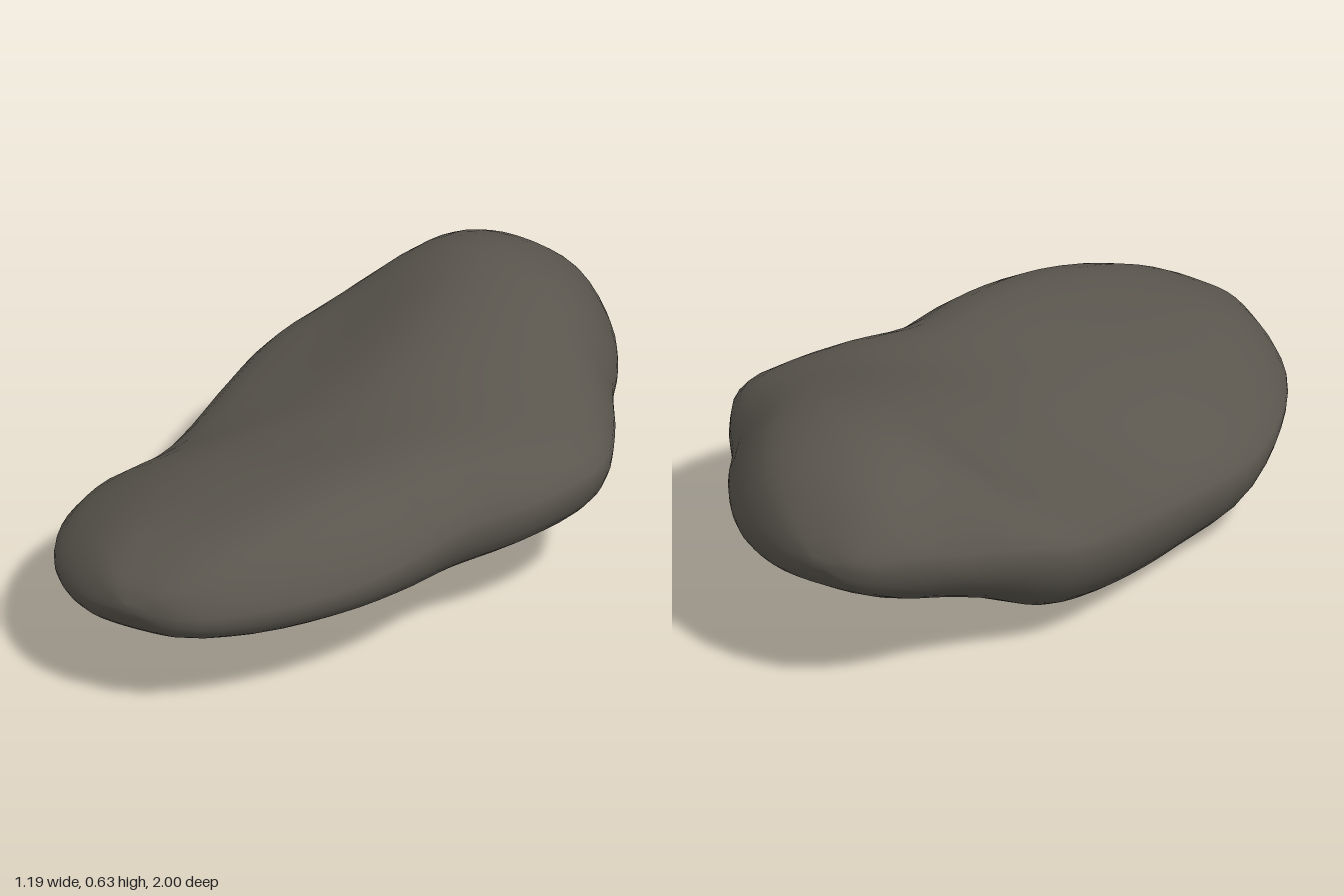
import * as THREE from 'three';

// Cross-sections from back to front:
// z, left x, right x, then heights going round:
// left edge, top left, top middle, top right, right edge, bottom right, bottom middle, bottom left
const SECTIONS = [
  [-0.97, -0.27, 0.00, 0.40, 0.44, 0.45, 0.44, 0.39, 0.33, 0.32, 0.33],
  [-0.86, -0.375, 0.19, 0.41, 0.525, 0.56, 0.52, 0.39, 0.285, 0.26, 0.275],
  [-0.70, -0.435, 0.32, 0.37, 0.565, 0.622, 0.56, 0.39, 0.25, 0.21, 0.22],
  [-0.57, -0.50, 0.39, 0.345, 0.53, 0.62, 0.565, 0.39, 0.235, 0.18, 0.175],
  [-0.41, -0.57, 0.50, 0.31, 0.45, 0.585, 0.53, 0.38, 0.215, 0.13, 0.10],
  [-0.22, -0.575, 0.585, 0.27, 0.41, 0.535, 0.485, 0.375, 0.195, 0.09, 0.045],
  [0.00, -0.56, 0.54, 0.23, 0.37, 0.475, 0.48, 0.355, 0.18, 0.07, 0.008],
  [0.18, -0.56, 0.445, 0.21, 0.365, 0.45, 0.475, 0.34, 0.16, 0.06, 0.008],
  [0.39, -0.59, 0.42, 0.22, 0.375, 0.46, 0.485, 0.335, 0.18, 0.10, 0.045],
  [0.60, -0.545, 0.36, 0.24, 0.375, 0.45, 0.47, 0.32, 0.20, 0.16, 0.135],
  [0.82, -0.42, 0.23, 0.26, 0.375, 0.42, 0.42, 0.31, 0.215, 0.185, 0.18],
  [0.96, -0.24, 0.08, 0.28, 0.345, 0.36, 0.355, 0.30, 0.245, 0.23, 0.235],
];
// How far across the width each point lies; each side has an extra point below its edge
const ACROSS = [0, 0.22, 0.5, 0.83, 1, 0.98, 0.87, 0.5, 0.12, 0.015];
const ALONG = 44, AROUND = 40;

function sectionRing([z, xl, xr, ...ys]) {
  const [leftEdge, tl, tm, tr, rightEdge, br, bm, bl] = ys;
  const lower = (edge, bottom) => THREE.MathUtils.lerp(edge, bottom, 0.57);
  const heights = [leftEdge, tl, tm, tr, rightEdge, lower(rightEdge, br),
    br, bm, bl, lower(leftEdge, bl)];
  return heights.map((y, k) => new THREE.Vector3(xl + (xr - xl) * ACROSS[k], y, z));
}

function buildStone() {
  const rings = SECTIONS.map(sectionRing);
  const backTip = new THREE.Vector3(-0.14, 0.385, -1);
  const frontTip = new THREE.Vector3(-0.08, 0.3, 1);

  // Smooth lengthwise curves, one through each point of the sections
  const rails = ACROSS.map((_, k) => new THREE.CatmullRomCurve3(
    [backTip, ...rings.map((r) => r[k]), frontTip]));

  // Rings of vertices between the two tips
  const positions = [];
  for (let i = 1; i < ALONG; i++) {
    const loop = new THREE.CatmullRomCurve3(rails.map((c) => c.getPoint(i / ALONG)), true);
    for (let j = 0; j < AROUND; j++) positions.push(...loop.getPoint(j / AROUND).toArray());
  }
  const back = positions.length / 3, front = back + 1, last = (ALONG - 2) * AROUND;
  positions.push(...backTip.toArray(), ...frontTip.toArray());

  // Skin between rings, with a fan closing each end
  const index = [];
  for (let j = 0; j < AROUND; j++) {
    const n = (j + 1) % AROUND;
    for (let i = 0; i < ALONG - 2; i++) {
      const a = i * AROUND + j, b = i * AROUND + n;
      index.push(a, a + AROUND, b, b, a + AROUND, b + AROUND);
    }
    index.push(back, j, n, front, last + n, last + j);
  }

  const geometry = new THREE.BufferGeometry();
  geometry.setAttribute('position', new THREE.Float32BufferAttribute(positions, 3));
  geometry.setIndex(index);
  geometry.computeVertexNormals();
  return geometry;
}

export function createModel() {
  const group = new THREE.Group();
  group.name = 'rock';
  const material = new THREE.MeshStandardMaterial({ color: 0x5a564e });
  material.name = 'dark stone';
  const stone = new THREE.Mesh(buildStone(), material);
  stone.name = 'stone';
  group.add(stone);
  return group;
}
